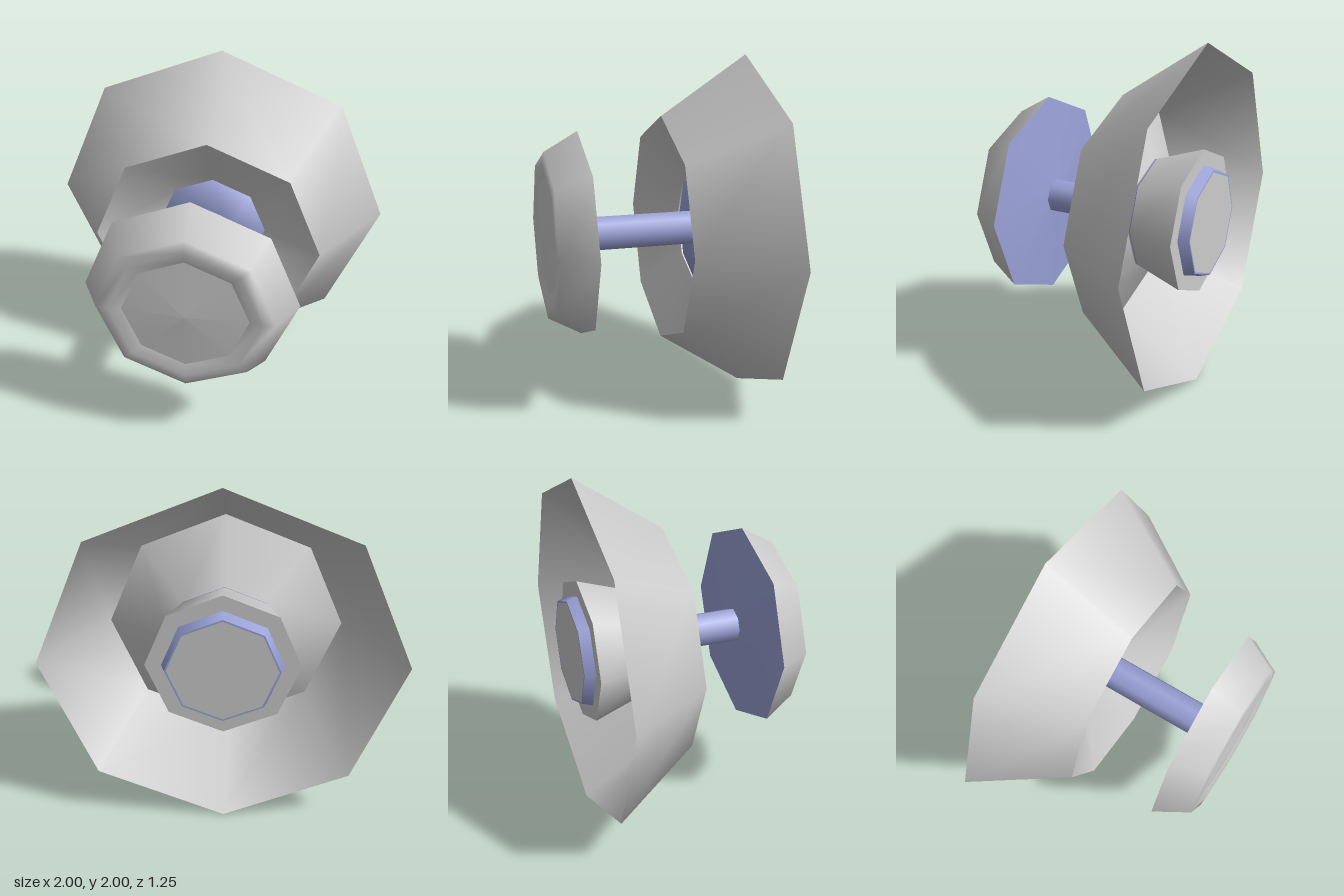
import * as THREE from 'three';

const GREY = new THREE.MeshStandardMaterial({ color: 0xcccccc, side: THREE.DoubleSide });
const BLUE = new THREE.MeshStandardMaterial({ color: 0x9aa2d8, side: THREE.DoubleSide });

// Eight-sided turned band around the z axis; profile is a list of [radius, z].
function band(name, profile, material) {
  const points = profile.map(([r, z]) => new THREE.Vector2(r, z));
  const geometry = new THREE.LatheGeometry(points, 8);
  geometry.rotateX(Math.PI / 2);
  const mesh = new THREE.Mesh(geometry, material);
  mesh.name = name;
  return mesh;
}

export function createModel() {
  const model = new THREE.Group();
  model.name = 'hornAndDisc';

  // Folded horn: wide skirt opening to the back, funnel running back to the throat
  const horn = new THREE.Group();
  horn.name = 'horn';
  horn.add(
    band('skirt', [[1, -0.57], [0.665, -0.07]], GREY),
    band('funnel', [[0.665, -0.07], [0.32, -0.27]], GREY),
    band('collar', [[0.42, -0.57], [0.32, -0.27]], GREY),
    band('collarBack', [[0.33, -0.57], [0.42, -0.57]], GREY),
  );

  // Plug filling the throat and standing out at the back
  const plug = new THREE.Group();
  plug.name = 'plug';
  plug.add(
    band('plugBody', [[0.33, -0.57], [0.325, -0.28], [0.1, -0.265]], BLUE),
    band('plugTaper', [[0.31, -0.63], [0.33, -0.57]], BLUE),
    band('plugLip', [[0.3, -0.63], [0.31, -0.63]], BLUE),
    band('plugCap', [[0, -0.63], [0.3, -0.63]], GREY),
  );

  // Rod between plug and front disc
  const rod = band('rod', [[0.1, -0.28], [0.1, 0.38]], BLUE);

  // Front disc: shallow cone behind, bevelled rim, slightly dished face
  const disc = new THREE.Group();
  disc.name = 'frontDisc';
  disc.add(
    band('discBack', [[0.1, 0.375], [0.6, 0.415]], BLUE),
    band('discRim', [[0.6, 0.415], [0.49, 0.607], [0.42, 0.617], [0.35, 0.6]], GREY),
    band('discCap', [[0.35, 0.6], [0, 0.623]], GREY),
  );

  model.add(horn, plug, rod, disc);
  model.children.forEach((part) => { part.position.y = 1; });
  return model;
}
